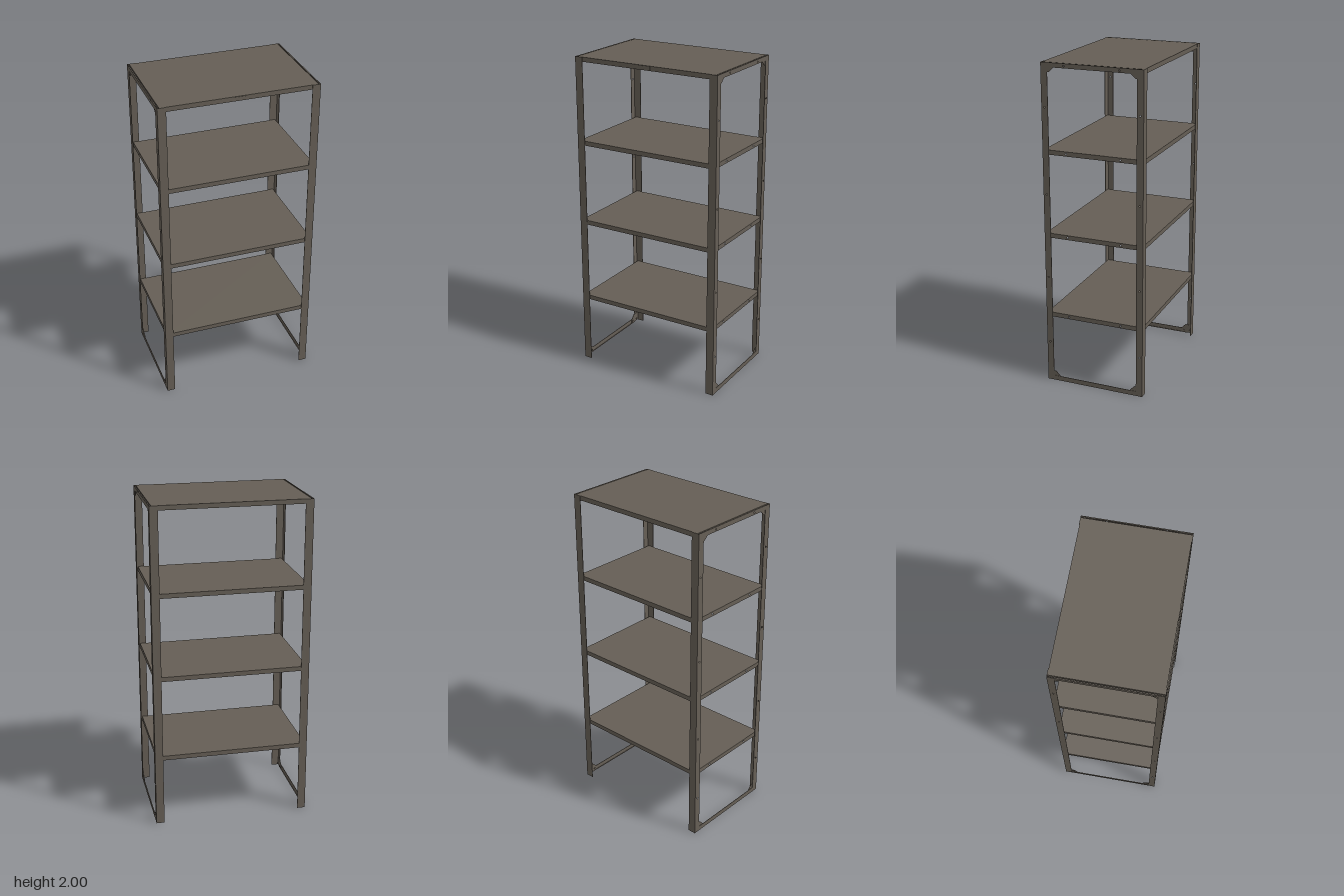
import * as THREE from 'three';

const T = 0.003;            // sheet thickness
const X = 0.48, Z = 0.315;  // half width and half depth of the frame
const HOLE = 0.005;

const steel = new THREE.MeshStandardMaterial({ color: 0x655e55 });
steel.name = 'warm grey steel';

function add(parent, name, geometry, x, y, z) {
  const mesh = new THREE.Mesh(geometry, steel);
  mesh.name = name;
  mesh.position.set(x, y, z);
  parent.add(mesh);
  return mesh;
}

function box(parent, name, x0, x1, y0, y1, z0, z1) {
  const geometry = new THREE.BoxGeometry(x1 - x0, y1 - y0, z1 - z0);
  return add(parent, name, geometry, (x0 + x1) / 2, (y0 + y1) / 2, (z0 + z1) / 2);
}

// Upright sheet lying in the y-z plane, starting at x; points and holes are [z, y]
function sheet(parent, name, x, points, holes = [], depth = T) {
  // the shape's own horizontal axis is -z after turning it to face +x
  const shape = new THREE.Shape(points.map(([z, y]) => new THREE.Vector2(-z, y)));
  for (const [z, y] of holes) {
    const path = new THREE.Path();
    path.absarc(-z, y, HOLE, 0, Math.PI * 2, true);
    shape.holes.push(path);
  }
  const geometry = new THREE.ExtrudeGeometry(shape, { depth, bevelEnabled: false, curveSegments: 4 });
  geometry.rotateY(Math.PI / 2);
  return add(parent, name, geometry, x, 0, 0);
}

const rect = (z0, z1, y0, y1) => [[z0, y0], [z1, y0], [z1, y1], [z0, y1]];

// Angle-section legs, cross bars and corner gussets of one side
function sideFrame(side) {
  const frame = new THREE.Group();
  frame.name = side > 0 ? 'leftFrame' : 'rightFrame';
  const inner = side > 0 ? X - T : -X;             // side sheet
  const gussetX = side > 0 ? X - 2 * T : -X + T;   // just inside it
  const [f0, f1] = side > 0 ? [0.43, X] : [-X, -0.43];
  const [b0, b1] = side > 0 ? [X - 0.007, X - T] : [-X + T, -X + 0.007];

  for (const s of [1, -1]) {
    // Leg: wide face plus punched side flange
    const [z0, z1] = s > 0 ? [Z - T, Z] : [-Z, -Z + T];
    box(frame, 'legFace', f0, f1, 0, 2, z0, z1);
    const e0 = s * 0.274, e1 = s * (Z - T);
    sheet(frame, 'legFlange', inner, rect(Math.min(e0, e1), Math.max(e0, e1), 0, 2),
      [0.26, 0.69, 1.215, 1.74].map(y => [s * 0.295, y]));

    // Corner gussets at top and bottom, with their bolts
    sheet(frame, 'topGusset', gussetX,
      [[s * 0.311, 1.997], [s * 0.235, 1.997], [s * 0.235, 1.973],
        [s * 0.265, 1.945], [s * 0.274, 1.945], [s * 0.311, 1.945]]);
    sheet(frame, 'bottomGusset', gussetX,
      [[s * 0.311, 0.003], [s * 0.235, 0.003], [s * 0.235, 0.032],
        [s * 0.262, 0.06], [s * 0.274, 0.06], [s * 0.311, 0.06]]);
    for (const y of [0.016, 1.987]) {
      for (const z of [0.25, 0.295]) {
        const nut = new THREE.CylinderGeometry(0.007, 0.007, 0.004, 6);
        nut.rotateZ(Math.PI / 2);
        add(frame, 'gussetNut', nut, side * 0.472, y, s * z);
      }
    }
  }

  // Cross bars: vertical sheet with a narrow inward flange
  sheet(frame, 'topBar', inner, rect(-0.274, 0.274, 1.973, 2), [[0.17, 1.986], [-0.17, 1.986]]);
  box(frame, 'topBarFlange', b0, b1, 2 - T, 2, -0.274, 0.274);
  sheet(frame, 'bottomBar', inner, rect(-0.274, 0.274, 0, 0.03));
  box(frame, 'bottomBarFlange', b0, b1, 0, T, -0.274, 0.274);
  return frame;
}

// Tray shelf: flat top with turned-down lips
function shelf(top, height) {
  const group = new THREE.Group();
  group.name = 'shelf';
  const w = 0.468, d = Z - T;
  box(group, 'shelfTop', -w, w, top - T, top, -d, d);
  for (const s of [1, -1]) {
    const z = s * (d - T / 2);
    box(group, 'longLip', -w, w, top - height, top - T, z - T / 2, z + T / 2);
    sheet(group, 'endLip', s > 0 ? w - T : -w, rect(-d + T, d - T, top - height, top - T),
      [[0.17, top - 0.014], [-0.17, top - 0.014]]);
  }
  return group;
}

export function createModel() {
  const model = new THREE.Group();
  model.name = 'shelvingUnit';
  model.add(sideFrame(1), sideFrame(-1));
  for (const top of [0.455, 0.97, 1.485, 2]) model.add(shelf(top, 0.028));
  // Small blank plate on the front edge of the top shelf
  box(model, 'frontPlate', -0.04, 0.04, 1.973, 1.997, Z - T, Z - T + 0.002);
  return model;
}
